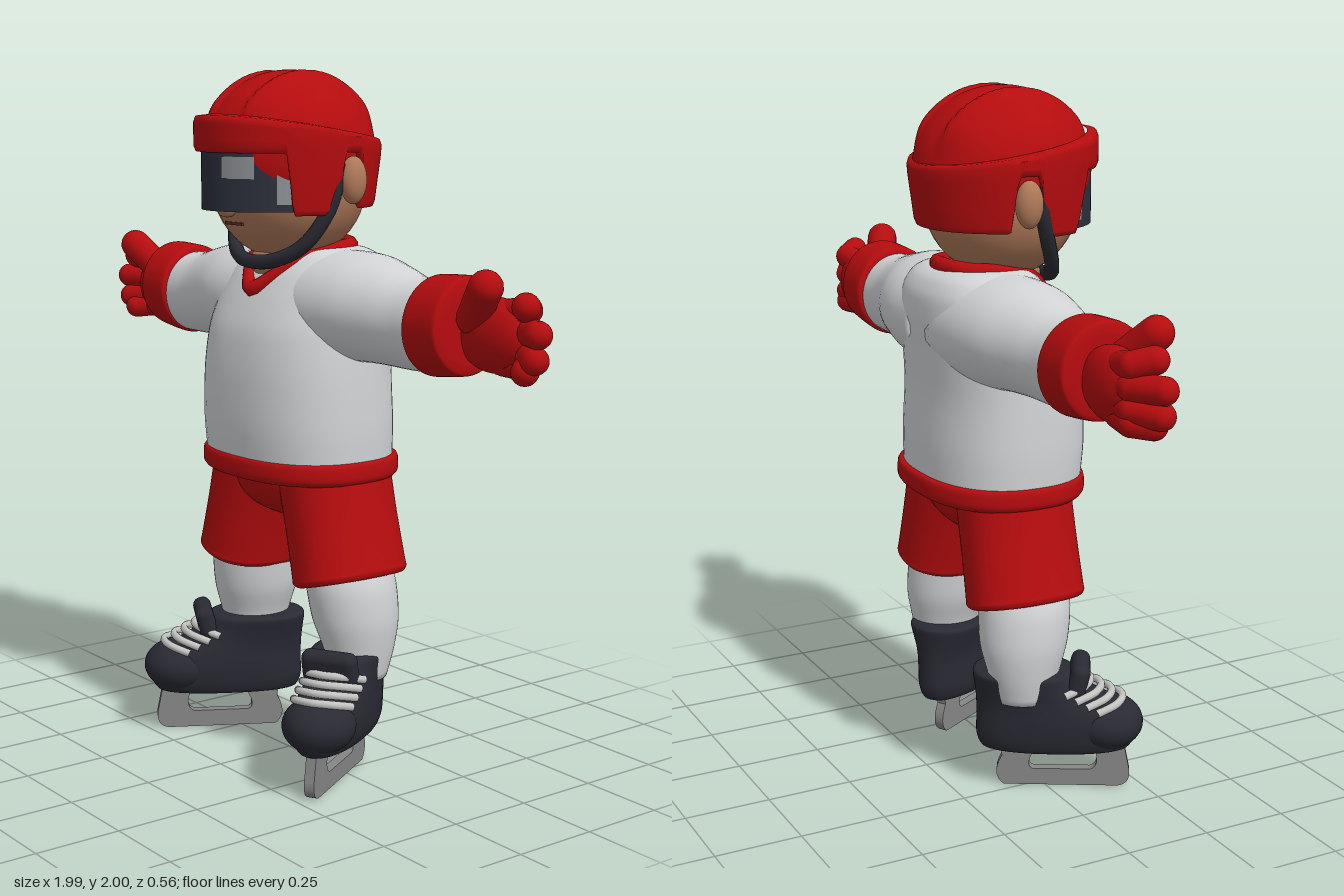
import * as THREE from 'three';
import { RoundedBoxGeometry } from 'three/addons/geometries/RoundedBoxGeometry.js';

const paint = (name, color) => Object.assign(new THREE.MeshStandardMaterial({ color }), { name });
const M = {
  red: paint('red', 0xb50c0e),
  white: paint('jersey white', 0xd2d4d6),
  dark: paint('boot black', 0x292a33),
  visor: paint('visor', 0x2c303a),
  steel: paint('blade grey', 0x868686),
  lace: paint('lace grey', 0xc4c4c2),
  glint: paint('visor glint', 0x8c8f94),
  skin: paint('skin', 0xb07a5a),
  mouth: paint('mouth', 0x5e2f22),
};
M.visor.side = M.glint.side = THREE.DoubleSide;

function add(parent, name, geo, mat, pos = [0, 0, 0], scale = [1, 1, 1]) {
  const m = new THREE.Mesh(geo, mat);
  m.name = name;
  m.position.set(...pos);
  m.scale.set(...scale);
  parent.add(m);
  return m;
}
const ball = (parent, name, mat, pos, r) => add(parent, name, new THREE.SphereGeometry(1, 32, 24), mat, pos, r);

// Capsule between two points
function rod(parent, name, a, b, r, mat) {
  const A = new THREE.Vector3(...a), d = new THREE.Vector3(...b).sub(A);
  const m = add(parent, name, new THREE.CapsuleGeometry(r, d.length(), 8, 16), mat);
  m.position.copy(A).addScaledVector(d, 0.5);
  m.quaternion.setFromUnitVectors(new THREE.Vector3(0, 1, 0), d.normalize());
}
function tube(pts, r, closed = false) {
  return new THREE.TubeGeometry(new THREE.CatmullRomCurve3(pts.map(p => new THREE.Vector3(...p)), closed), 48, r, 10, closed);
}

// Smooth loft of superellipse rings [t, a, b, radiusA, radiusB] along the y or x axis
function loft(rings, exp = 2, axis = 'y', seg = 48) {
  const c1 = new THREE.CatmullRomCurve3(rings.map(r => new THREE.Vector3(r[0], r[1], r[2])), false, 'catmullrom', 0.4);
  const c2 = new THREE.CatmullRomCurve3(rings.map(r => new THREE.Vector3(r[3], r[4], 0)), false, 'catmullrom', 0.4);
  const n = (rings.length - 1) * 4, pos = [], idx = [];
  const put = (t, a, b) => (axis === 'y' ? pos.push(a, t, b) : pos.push(t, a, b));
  const tri = (a, b, c) => (axis === 'y' ? idx.push(a, b, c) : idx.push(a, c, b));
  const pw = v => Math.sign(v) * Math.abs(v) ** (2 / exp);
  for (let i = 0; i <= n; i++) {
    const p = c1.getPoint(i / n), q = c2.getPoint(i / n);
    for (let j = 0; j < seg; j++) {
      const f = (j / seg) * Math.PI * 2;
      put(p.x, p.y + q.x * pw(Math.cos(f)), p.z + q.y * pw(Math.sin(f)));
    }
  }
  for (const r of [rings[0], rings[rings.length - 1]]) put(r[0], r[1], r[2]);
  const end = (n + 1) * seg;
  for (let j = 0; j < seg; j++) {
    const k = (j + 1) % seg;
    for (let i = 0; i < n; i++) {
      const a = i * seg + j, b = i * seg + k, c = a + seg, d = b + seg;
      tri(a, c, b);
      tri(b, c, d);
    }
    tri(end, j, k);
    tri(end + 1, n * seg + k, n * seg + j);
  }
  return finish(pos, idx);
}
function finish(pos, idx) {
  const g = new THREE.BufferGeometry();
  g.setAttribute('position', new THREE.Float32BufferAttribute(pos, 3));
  g.setIndex(idx);
  g.computeVertexNormals();
  return g;
}

// Lower helmet shell: face opening, cheek guards and ear gaps set by the angle from the front
function helmetShell() {
  const S = THREE.MathUtils.smoothstep, pos = [], idx = [], seg = 192, rows = 9;
  for (let j = 0; j < seg; j++) {
    const f = (j / seg) * Math.PI * 2, t = Math.min(f, Math.PI * 2 - f);
    const low = 1.77 - 0.17 * S(t, 0.94, 1.04) + 0.17 * S(t, 1.53, 1.63) - 0.155 * S(t, 1.84, 1.94);
    const top = 1.835 + 0.04 * Math.cos(f);
    const k = y => 0.92 + 0.08 * S(y, 1.58, 1.8);
    const prof = [[low + 0.02, 0.9], [low, 0.94], [low, 0.98], [low + 0.015, 1]];
    for (const u of [0.35, 0.75]) prof.push([low + (top - low) * u, 1]);
    prof.push([top - 0.018, 1], [top - 0.003, 0.98], [top, 0.88]);
    for (const [y, s] of prof) pos.push(0.256 * s * k(y) * Math.sin(f), y, 0.005 + 0.272 * s * k(y) * Math.cos(f));
  }
  for (let j = 0; j < seg; j++) for (let i = 0; i < rows - 1; i++) {
    const a = j * rows + i, b = ((j + 1) % seg) * rows + i;
    idx.push(a, b, a + 1, b, b + 1, a + 1);
  }
  return finish(pos, idx);
}

// Helmet dome with two raised ridges running front to back
function helmetDome() {
  const g = new THREE.SphereGeometry(1, 96, 64), p = g.attributes.position;
  for (let i = 0; i < p.count; i++) {
    const x = p.getX(i), y = p.getY(i), z = p.getZ(i);
    const w = Math.abs(x * 0.232), S = THREE.MathUtils.smoothstep;
    const k = 1 + 0.055 * S(w, 0.06, 0.075) * (1 - S(w, 0.1, 0.17)) * S(y, 0.2, 0.6);
    p.setXYZ(i, x * 0.232 * k, 1.76 + y * 0.236 * k, z * 0.255 * k);
  }
  g.computeVertexNormals();
  return g;
}
const arc = (h, from, to) => new THREE.CylinderGeometry(1, 1, h, 32, 1, true, from, to - from);

function buildHead(root) {
  const head = new THREE.Group();
  head.name = 'head';
  ball(head, 'face', M.skin, [0, 1.68, 0], [0.222, 0.22, 0.22]);
  ball(head, 'nose', M.skin, [0, 1.615, 0.215], [0.028, 0.025, 0.03]);
  ball(head, 'neck', M.skin, [0, 1.46, -0.03], [0.1, 0.08, 0.15]);
  add(head, 'mouth', new THREE.BoxGeometry(0.08, 0.008, 0.009), M.mouth, [0, 1.572, 0.191]);
  for (const s of [-1, 1]) ball(head, 'ear', M.skin, [s * 0.242, 1.695, -0.04], [0.034, 0.066, 0.04]);
  add(head, 'helmetShell', helmetShell(), M.red);
  add(head, 'helmetDome', helmetDome(), M.red);
  const front = new THREE.Group();
  front.name = 'visor';
  front.scale.set(0.213, 1, 0.265);
  head.add(front);
  add(front, 'visorGlass', arc(0.165, -1.2, 1.2), M.visor, [0, 1.692, 0]);
  add(front, 'visorGlint', arc(0.06, 0.19, 0.64), M.glint, [0, 1.73, 0], [1.012, 1, 1.012]);
  for (const s of [-1, 1])
    add(front, 'visorSideGlint', arc(0.12, s * 1.0 - 0.1, s * 1.0 + 0.1), M.glint, [0, 1.69, 0], [1.012, 1, 1.012]);
  add(head, 'chinStrap', tube([[-0.226, 1.74, -0.005], [-0.222, 1.63, 0.02], [-0.17, 1.52, 0.07], [-0.09, 1.473, 0.11], [0, 1.462, 0.125],
    [0.09, 1.473, 0.11], [0.17, 1.52, 0.07], [0.222, 1.63, 0.02], [0.226, 1.74, -0.005]], 0.021), M.dark);
  root.add(head);
}

function buildTorso(root) {
  add(root, 'jersey', loft([[0.87, 0, -0.035, 0.296, 0.225], [1.0, 0, -0.03, 0.302, 0.232], [1.15, 0, -0.028, 0.3, 0.226],
    [1.27, 0, -0.04, 0.294, 0.22], [1.36, 0, -0.062, 0.282, 0.205], [1.43, 0, -0.078, 0.26, 0.182],
    [1.475, 0, -0.085, 0.225, 0.15], [1.497, 0, -0.085, 0.18, 0.115], [1.503, 0, -0.085, 0.1, 0.07]], 2.4), M.white);
  add(root, 'hem', loft([[0.846, 0, -0.038, 0.27, 0.205], [0.85, 0, -0.038, 0.298, 0.228], [0.866, 0, -0.038, 0.31, 0.241],
    [0.898, 0, -0.038, 0.31, 0.241], [0.912, 0, -0.038, 0.304, 0.234], [0.914, 0, -0.038, 0.28, 0.21]], 2.4), M.red);
  add(root, 'collar', tube([[0, 1.505, -0.185], [0.09, 1.5, -0.15], [0.125, 1.492, -0.06], [0.1, 1.465, 0.045], [0.05, 1.415, 0.1],
    [0, 1.385, 0.13], [-0.05, 1.415, 0.1], [-0.1, 1.465, 0.045], [-0.125, 1.492, -0.06], [-0.09, 1.5, -0.15]], 0.024, true), M.red);
  ball(root, 'shortsSeat', M.red, [0, 0.84, -0.04], [0.26, 0.13, 0.168]);
}

function buildArm(side) {
  add(side, 'sleeve', loft([[0.05, 1.335, -0.075, 0.16, 0.19], [0.2, 1.338, -0.075, 0.16, 0.188], [0.3, 1.343, -0.072, 0.15, 0.172],
    [0.4, 1.334, -0.067, 0.138, 0.142], [0.5, 1.32, -0.065, 0.126, 0.121], [0.62, 1.318, -0.065, 0.122, 0.116]], 2, 'x'), M.white);
  add(side, 'gloveCuff', loft([[0.568, 1.325, -0.067, 0.115, 0.11], [0.572, 1.325, -0.067, 0.13, 0.125], [0.588, 1.325, -0.067, 0.137, 0.132],
    [0.685, 1.333, -0.067, 0.133, 0.13], [0.7, 1.333, -0.067, 0.125, 0.12], [0.705, 1.333, -0.067, 0.1, 0.09]], 2, 'x'), M.red);
  ball(side, 'palm', M.red, [0.775, 1.318, -0.085], [0.13, 0.1, 0.065]);
  rod(side, 'thumb', [0.73, 1.36, -0.05], [0.828, 1.45, 0.0], 0.046, M.red);
  // Fingers: knuckle height, tip x, tip height
  for (const [y, x, ty] of [[1.375, 0.915, 1.405], [1.33, 0.96, 1.338], [1.285, 0.95, 1.272], [1.25, 0.915, 1.24]]) {
    rod(side, 'finger', [0.8, y, -0.09], [0.88, (y + ty) / 2, -0.1], 0.037, M.red);
    rod(side, 'fingerTip', [0.88, (y + ty) / 2, -0.1], [x, ty, -0.058], 0.037, M.red);
  }
}

function buildLeg(side) {
  const short = add(side, 'shortsLeg', loft([[-0.322, 0, 0, 0.095, 0.13], [-0.32, 0, 0, 0.12, 0.16], [-0.306, 0, 0, 0.13, 0.173],
    [-0.285, 0, 0, 0.13, 0.172], [-0.15, 0, 0, 0.131, 0.168], [0.0, 0, 0, 0.14, 0.165]], 2.3), M.red, [0.155, 0.87, -0.043]);
  short.rotation.z = 0.26;
  add(side, 'sock', loft([[0.28, 0.25, -0.055, 0.085, 0.09], [0.36, 0.255, -0.06, 0.096, 0.105], [0.45, 0.245, -0.055, 0.118, 0.128],
    [0.55, 0.234, -0.047, 0.122, 0.134], [0.64, 0.215, -0.045, 0.11, 0.125]]), M.white);

  // Skate, turned outward
  const skate = new THREE.Group();
  skate.name = 'skate';
  skate.position.set(0.29, 0, 0.05);
  skate.rotation.y = 0.52;
  side.add(skate);
  // Boot rings: height, heel, front, half width
  const boot = [[0.118, -0.2, 0.16, 0.05], [0.125, -0.235, 0.19, 0.078], [0.16, -0.25, 0.215, 0.092], [0.21, -0.25, 0.222, 0.097],
    [0.25, -0.25, 0.19, 0.096], [0.285, -0.252, 0.115, 0.096], [0.32, -0.256, 0.062, 0.101], [0.355, -0.26, 0.035, 0.108], [0.365, -0.25, 0.02, 0.095]];
  add(skate, 'boot', loft(boot.map(([y, h, f, w]) => [y, 0, (h + f) / 2, w, (f - h) / 2]), 2.3), M.dark);
  ball(skate, 'toeCap', M.dark, [0, 0.2, 0.125], [0.104, 0.08, 0.108]);
  add(skate, 'tongue', new RoundedBoxGeometry(0.165, 0.1, 0.055, 4, 0.025), M.dark, [0, 0.342, 0.045]).rotation.x = 0.25;
  for (let i = 0; i < 4; i++) {
    const y = 0.328 - i * 0.017, z = 0.075 + i * 0.031;
    add(skate, 'lace', tube([[-0.088, y - 0.022, z - 0.07], [-0.055, y - 0.004, z - 0.014], [0, y, z + 0.004], [0.055, y - 0.004, z - 0.014], [0.088, y - 0.022, z - 0.07]], 0.0115), M.lace);
  }
  // Blade and holder with an opening
  const s = new THREE.Shape();
  s.moveTo(-0.17, 0);
  s.lineTo(0.16, 0);
  s.quadraticCurveTo(0.2, 0.005, 0.195, 0.05);
  s.lineTo(0.175, 0.15);
  s.lineTo(-0.185, 0.15);
  s.lineTo(-0.175, 0.09);
  s.quadraticCurveTo(-0.21, 0.03, -0.17, 0);
  const hole = new THREE.Path();
  hole.moveTo(-0.085, 0.05);
  hole.lineTo(0.08, 0.05);
  hole.quadraticCurveTo(0.115, 0.06, 0.09, 0.125);
  hole.lineTo(-0.07, 0.125);
  hole.quadraticCurveTo(-0.115, 0.06, -0.085, 0.05);
  s.holes.push(hole);
  const blade = new THREE.ExtrudeGeometry(s, { depth: 0.03, bevelEnabled: false });
  blade.translate(0, 0, -0.015).rotateY(-Math.PI / 2);
  add(skate, 'blade', blade, M.steel);
}

export function createModel() {
  const root = new THREE.Group();
  root.name = 'hockeyPlayer';
  buildHead(root);
  buildTorso(root);
  for (const [name, sx] of [['leftLimbs', 1], ['rightLimbs', -1]]) {
    const side = new THREE.Group();
    side.name = name;
    side.scale.x = sx;
    buildArm(side);
    buildLeg(side);
    root.add(side);
  }
  return root;
}
